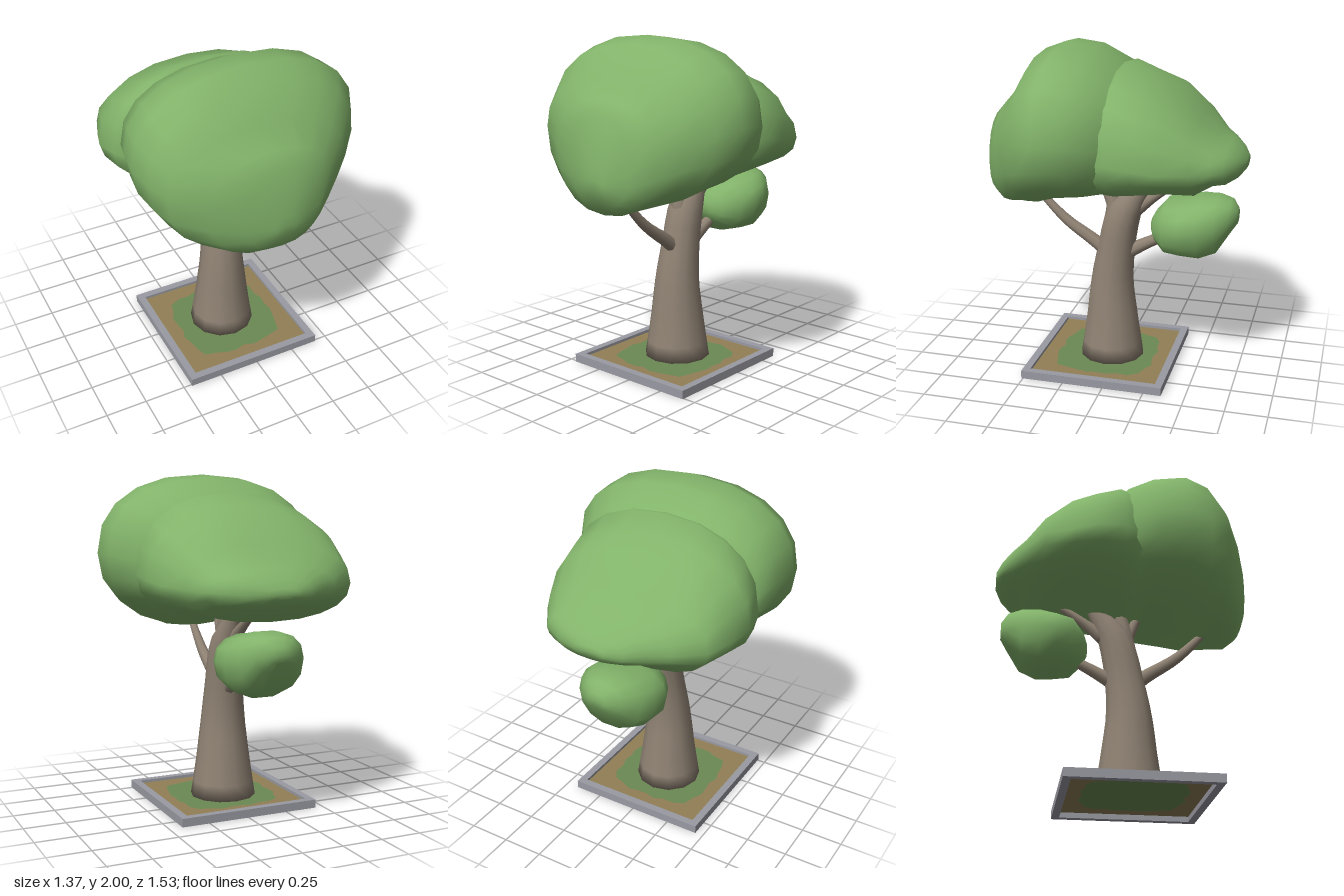
import * as THREE from 'three';

const paint = (name, hex, side = THREE.FrontSide) => {
  const m = new THREE.MeshStandardMaterial({ color: hex, side });
  m.name = name;
  return m;
};

// Skin a row of rings (each a list of points) and close both ends
function loft(rings) {
  const n = rings[0].length, pos = [], idx = [];
  rings.forEach(r => r.forEach(p => pos.push(p.x, p.y, p.z)));
  for (let i = 0; i < rings.length - 1; i++) {
    for (let j = 0; j < n; j++) {
      const k = (j + 1) % n, a = i * n + j, b = i * n + k, c = a + n, d = b + n;
      idx.push(a, b, c, b, d, c);
    }
  }
  [0, rings.length - 1].forEach(e => {
    const centre = new THREE.Vector3();
    rings[e].forEach(p => centre.addScaledVector(p, 1 / n));
    const t = pos.length / 3;
    pos.push(centre.x, centre.y, centre.z);
    for (let j = 0; j < n; j++) {
      const a = e * n + j, b = e * n + (j + 1) % n;
      if (e === 0) idx.push(t, b, a); else idx.push(t, a, b);
    }
  });
  const g = new THREE.BufferGeometry();
  g.setAttribute('position', new THREE.Float32BufferAttribute(pos, 3));
  g.setIndex(idx);
  g.computeVertexNormals();
  return g;
}

// Leaf mass from stations [z, xLeft, xRight, yBottom, yWidest, yTop], back to front
function foliage(stations, sides = 20) {
  const soft = v => Math.sign(v) * Math.abs(v) ** 0.88;
  return loft(stations.map(([z, xl, xr, yb, ym, yt]) =>
    Array.from({ length: sides }, (_, j) => {
      const a = (j / sides) * Math.PI * 2, c = soft(Math.cos(a)), s = soft(Math.sin(a));
      return new THREE.Vector3((xl + xr) / 2 + c * (xr - xl) / 2, ym + s * (s > 0 ? yt - ym : ym - yb), z);
    })));
}

// Tapered limb through points [x, y, z, radius]
function limb(points, sides = 8, steps = 10) {
  const curve = new THREE.CatmullRomCurve3(points.map(p => new THREE.Vector3(p[0], p[1], p[2])));
  const frames = curve.computeFrenetFrames(steps, false);
  const rings = [];
  for (let i = 0; i <= steps; i++) {
    const u = curve.getUtoTmapping(i / steps), f = u * (points.length - 1);
    const k = Math.min(Math.floor(f), points.length - 2);
    const r = THREE.MathUtils.lerp(points[k][3], points[k + 1][3], f - k);
    const p = curve.getPoint(u);
    rings.push(Array.from({ length: sides }, (_, j) => {
      const a = (j / sides) * Math.PI * 2;
      return p.clone().addScaledVector(frames.normals[i], r * Math.cos(a))
        .addScaledVector(frames.binormals[i], r * Math.sin(a));
    }));
  }
  return loft(rings);
}

function squarePath(target, h) {
  target.moveTo(-h, -h); target.lineTo(h, -h); target.lineTo(h, h); target.lineTo(-h, h);
  target.closePath();
  return target;
}

export function createModel() {
  const model = new THREE.Group();
  const leaf = paint('leaf green', 0x82b36a);
  const bark = paint('bark', 0x8f8273);
  const stone = paint('stone grey', 0x9a9ba3);
  const earth = paint('earth', 0x917f56, THREE.DoubleSide);
  const turf = paint('turf', 0x6c8a54, THREE.DoubleSide);
  const add = (name, geometry, material, parent = model) => {
    const mesh = new THREE.Mesh(geometry, material);
    mesh.name = name;
    parent.add(mesh);
    return mesh;
  };

  // Square planter: kerb, soil border and uneven grass patch
  const planter = new THREE.Group();
  planter.name = 'planter';
  planter.position.set(-0.015, 0, 0.075);
  model.add(planter);
  const kerbShape = squarePath(new THREE.Shape(), 0.435);
  kerbShape.holes.push(squarePath(new THREE.Path(), 0.39));
  add('kerb', new THREE.ExtrudeGeometry(kerbShape, { depth: 0.05, bevelEnabled: false }).rotateX(-Math.PI / 2), stone, planter);
  const patch = Array.from({ length: 32 }, (_, i) => {
    const a = (i / 32) * Math.PI * 2, c = Math.cos(a), s = Math.sin(a);
    const r = 0.3 / (c ** 4 + s ** 4) ** 0.25 + 0.012 * Math.sin(i * 2.3);
    return new THREE.Vector2(r * c, r * s);
  });
  const soilShape = squarePath(new THREE.Shape(), 0.39);
  soilShape.holes.push(new THREE.Path(patch));
  [['soil', soilShape, earth], ['grass', new THREE.Shape(patch), turf]].forEach(([name, shape, mat]) =>
    add(name, new THREE.ShapeGeometry(shape).rotateX(-Math.PI / 2).translate(0, 0.032, 0), mat, planter));

  // Trunk leaning back as it rises, then its branches
  add('trunk', limb([[-0.02, 0.035, 0.05, 0.2], [-0.02, 0.27, 0.05, 0.165], [-0.02, 0.5, 0.05, 0.137],
    [-0.015, 0.72, 0.025, 0.117], [-0.01, 0.98, -0.03, 0.106], [-0.01, 1.17, -0.15, 0.05],
    [0, 1.4, -0.26, 0.03]], 12, 16), bark);
  const branches = {
    uprightBranch: [[-0.01, 0.8, 0.02, 0.08], [-0.01, 1.0, 0.03, 0.055], [-0.01, 1.17, 0.0, 0.04], [0, 1.35, 0.02, 0.02]],
    shortFrontBranch: [[-0.01, 0.98, 0.03, 0.04], [-0.01, 1.12, 0.09, 0.028], [-0.01, 1.25, 0.15, 0.015]],
    longFrontBranch: [[-0.01, 0.68, 0.04, 0.05], [-0.01, 0.77, 0.15, 0.042], [-0.01, 0.9, 0.34, 0.033], [-0.01, 1.1, 0.54, 0.02]],
    lowBackBranch: [[-0.01, 0.7, -0.01, 0.05], [-0.01, 0.77, -0.13, 0.04], [-0.01, 0.86, -0.3, 0.03]],
    highBackBranch: [[-0.01, 1.0, -0.1, 0.045], [-0.01, 1.09, -0.21, 0.032], [-0.01, 1.2, -0.37, 0.02]],
  };
  for (const [name, points] of Object.entries(branches)) add(name, limb(points), bark);

  // Two overlapping crown masses and a small low clump
  add('frontCrown', foliage([
    [-0.22, -0.12, 0.12, 1.4, 1.5, 1.62],
    [-0.15, -0.4, 0.38, 1.25, 1.5, 1.76],
    [0, -0.62, 0.57, 1.14, 1.5, 1.9],
    [0.15, -0.66, 0.67, 1.12, 1.53, 1.98],
    [0.32, -0.685, 0.68, 1.1, 1.53, 2.0],
    [0.45, -0.65, 0.6, 1.05, 1.5, 1.95],
    [0.56, -0.59, 0.48, 1.03, 1.46, 1.77],
    [0.66, -0.4, 0.35, 1.02, 1.38, 1.66],
    [0.73, -0.22, 0.24, 1.08, 1.3, 1.58],
    [0.765, -0.06, 0.08, 1.18, 1.23, 1.3],
  ]), leaf);
  add('backCrown', foliage([
    [-0.765, -0.1, 0.09, 1.32, 1.35, 1.38],
    [-0.73, -0.2, 0.22, 1.28, 1.35, 1.43],
    [-0.67, -0.3, 0.34, 1.25, 1.36, 1.48],
    [-0.6, -0.42, 0.39, 1.24, 1.36, 1.51],
    [-0.5, -0.58, 0.46, 1.17, 1.37, 1.61],
    [-0.34, -0.635, 0.53, 1.18, 1.38, 1.77],
    [-0.2, -0.675, 0.56, 1.16, 1.4, 1.82],
    [-0.05, -0.65, 0.57, 1.14, 1.42, 1.89],
    [0.1, -0.56, 0.5, 1.14, 1.42, 1.86],
    [0.2, -0.3, 0.28, 1.25, 1.42, 1.65],
  ]), leaf);
  add('lowClump', foliage([
    [-0.72, -0.07, 0.05, 0.97, 1.01, 1.06],
    [-0.68, -0.15, 0.12, 0.91, 1.0, 1.11],
    [-0.6, -0.22, 0.19, 0.78, 0.97, 1.13],
    [-0.5, -0.26, 0.23, 0.74, 0.96, 1.125],
    [-0.4, -0.27, 0.235, 0.75, 0.95, 1.1],
    [-0.3, -0.22, 0.2, 0.76, 0.94, 1.09],
    [-0.23, -0.13, 0.11, 0.83, 0.92, 1.01],
    [-0.205, -0.05, 0.04, 0.88, 0.92, 0.96],
  ], 14), leaf);
  return model;
}
